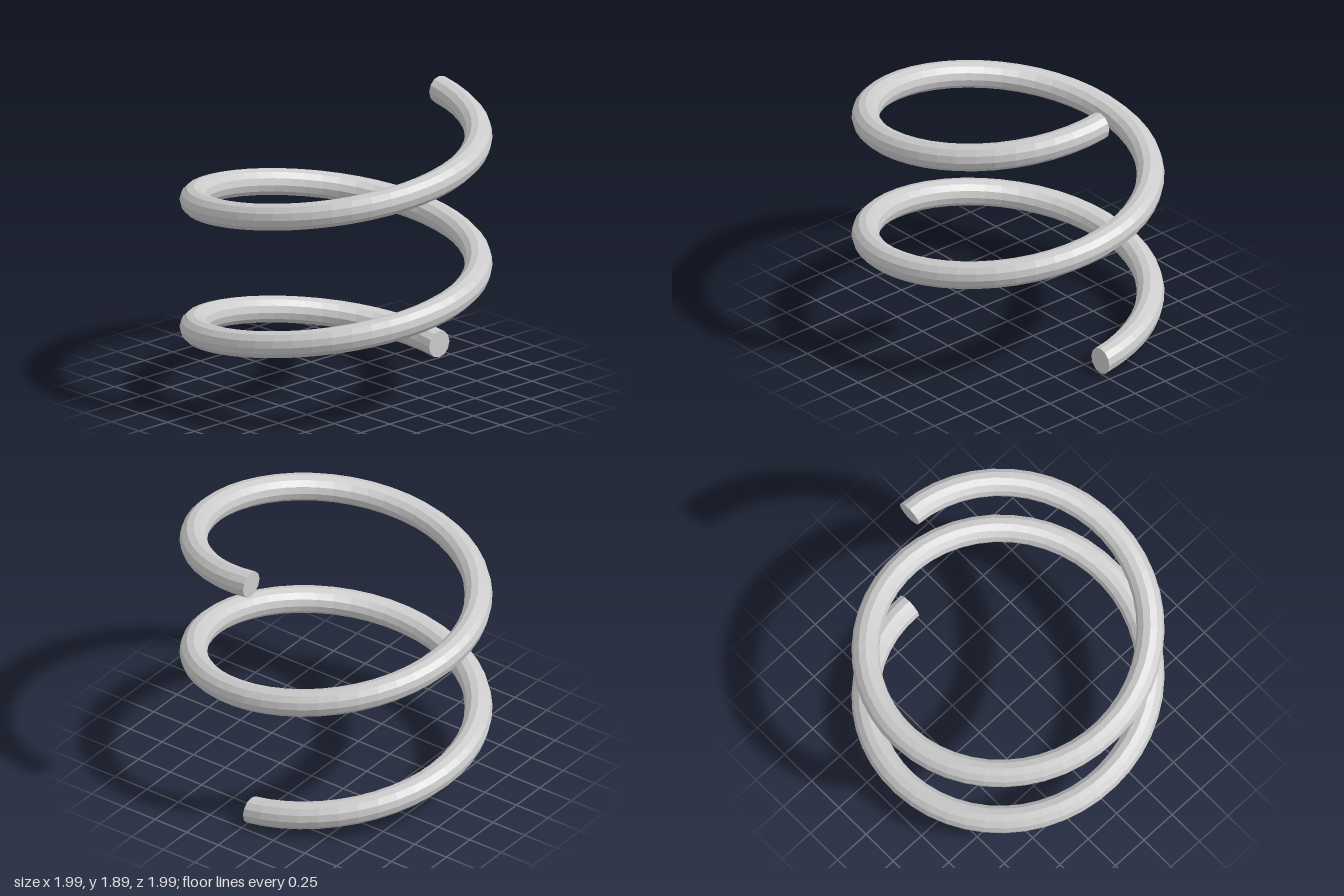
import * as THREE from 'three';

const TURNS = 2;
const RADIUS = 0.907; // coil centre line
const WIRE = 0.089; // wire thickness
const PITCH = 0.855; // rise per turn
const SIDES = 12;
const STEPS_PER_TURN = 48;

// Wind a straight capped rod into a helix; each cross-section stays upright.
function coilGeometry() {
  const geometry = new THREE.CylinderGeometry(WIRE, WIRE, 1, SIDES, TURNS * STEPS_PER_TURN);
  const pos = geometry.attributes.position;
  for (let i = 0; i < pos.count; i++) {
    const turn = (pos.getY(i) + 0.5) * TURNS;
    const angle = turn * Math.PI * 2;
    const r = RADIUS + pos.getX(i);
    const y = 0.093 + turn * PITCH + pos.getZ(i);
    pos.setXYZ(i, r * Math.cos(angle) - 0.004, y, -r * Math.sin(angle) - 0.004);
  }
  geometry.computeVertexNormals();
  return geometry;
}

export function createModel() {
  const group = new THREE.Group();
  group.name = 'spring';

  // Spring wire with flat end caps
  const material = new THREE.MeshStandardMaterial({ color: 0xcccccc, flatShading: true });
  const coil = new THREE.Mesh(coilGeometry(), material);
  coil.name = 'coil';
  group.add(coil);

  return group;
}
